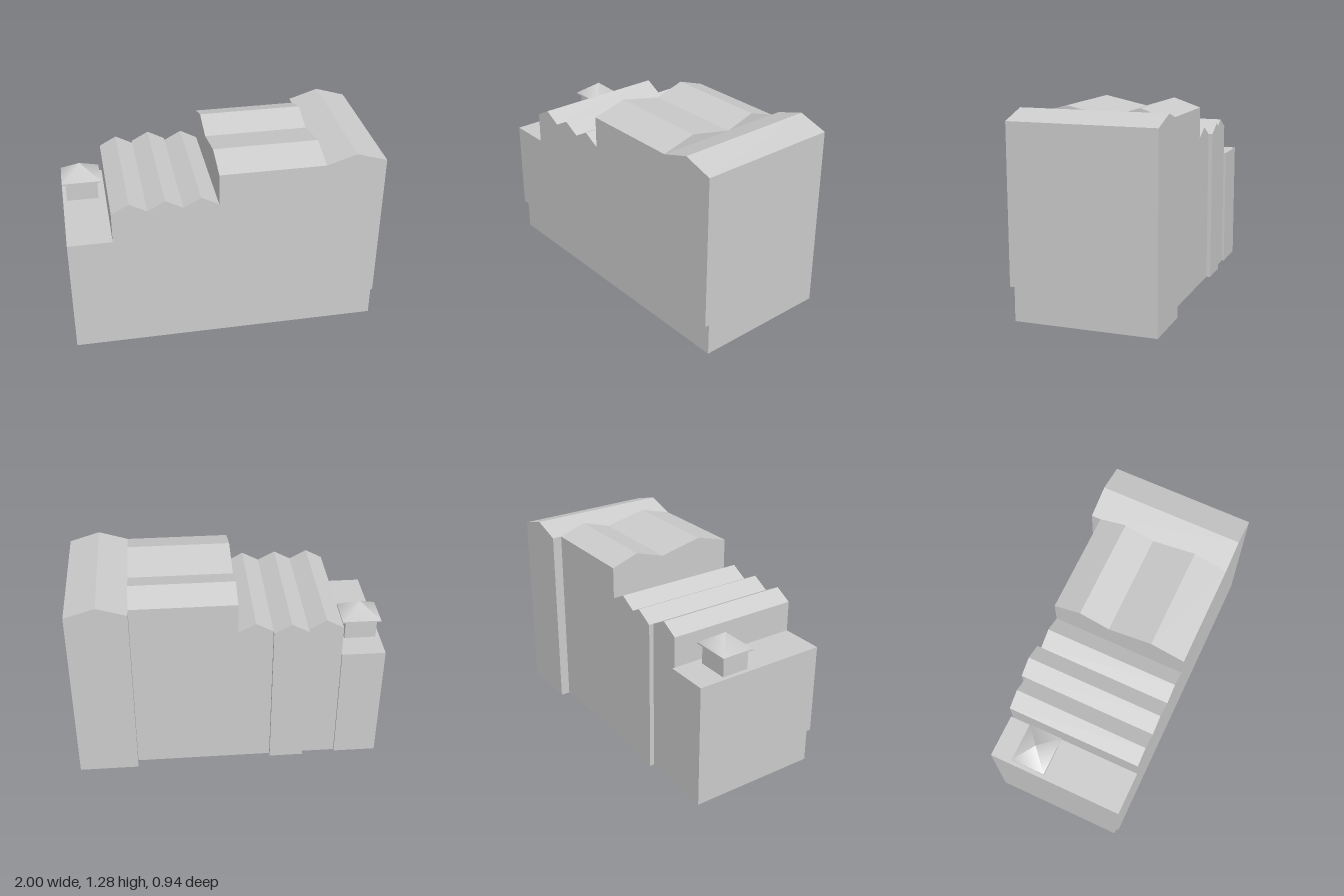
import * as THREE from 'three';

const material = new THREE.MeshStandardMaterial({ color: 0xcccccc, side: THREE.DoubleSide });
const FRONT = 0.47, PLINTH = 0.44, LEDGE = 0.215;
const X = [0, 1, 2];

// Flat polygon through 3D corners, turned to face the given outward direction
function panel(name, corners, outward) {
  const out = new THREE.Vector3(...outward);
  const axis = X.reduce((a, b) => Math.abs(outward[b]) > Math.abs(outward[a]) ? b : a);
  const [u, v] = X.filter(i => i !== axis);
  const tris = THREE.ShapeUtils.triangulateShape(corners.map(p => new THREE.Vector2(p[u], p[v])), []);
  const positions = [];
  for (const t of tris) {
    const [a, b, c] = t.map(i => new THREE.Vector3(...corners[i]));
    const normal = b.clone().sub(a).cross(c.clone().sub(a));
    const order = normal.dot(out) < 0 ? [a, c, b] : [a, b, c];
    order.forEach(p => positions.push(p.x, p.y, p.z));
  }
  const geometry = new THREE.BufferGeometry();
  geometry.setAttribute('position', new THREE.Float32BufferAttribute(positions, 3));
  geometry.computeVertexNormals();
  const mesh = new THREE.Mesh(geometry, material);
  mesh.name = name;
  return mesh;
}

const atZ = (z, pts) => pts.map(([x, y]) => [x, y, z]);
const atX = (x, pts) => pts.map(([z, y]) => [x, y, z]);

export function createModel() {
  const model = new THREE.Group();
  model.name = 'terraceBlock';
  const add = (...args) => model.add(panel(...args));

  // Sections with roof lines running across x; each has its own back depth
  const step = 0.665 / 3;
  const gables = [-0.405, -0.435, -0.408].map((back, i) => {
    const x = -0.72 + i * step;
    return { name: 'sawtoothGable', back, line: [[x, 1.015], [x + step / 2, 1.075], [x + step, 1.015]] };
  });
  const sections = [
    { name: 'lowWing', back: -0.42, line: [[-1, 0.815], [-0.72, 0.815]] },
    ...gables,
    { name: 'tallHall', back: -0.408, line: [[-0.055, 1.22], [0.615, 1.22]], crossRoof: true },
    { name: 'endWing', back: -0.47, line: [[0.615, 1.22], [0.805, 1.28], [1, 1.22]] },
  ];

  // Front wall follows the whole skyline, set out over a recessed plinth
  const skyline = sections.flatMap(s => s.line)
    .filter((p, i, a) => !i || Math.hypot(p[0] - a[i - 1][0], p[1] - a[i - 1][1]) > 1e-4);
  add('frontWall', atZ(FRONT, [[-1, LEDGE], ...skyline, [1, LEDGE]]), [0, 0, 1]);
  add('plinthWall', atZ(PLINTH, [[-1, 0], [-1, LEDGE], [1, LEDGE], [1, 0]]), [0, 0, 1]);
  add('overhangSoffit', [[-1, LEDGE, PLINTH], [1, LEDGE, PLINTH], [1, LEDGE, FRONT], [-1, LEDGE, FRONT]], [0, -1, 0]);

  // Back walls and roof slopes of each section
  for (const { name, back, line, crossRoof } of sections) {
    const x0 = line[0][0], x1 = line[line.length - 1][0];
    add(name + 'BackWall', atZ(back, [[x0, 0], ...line, [x1, 0]]), [0, 0, -1]);
    if (crossRoof) continue;
    for (let i = 1; i < line.length; i++) {
      const [a, b] = [line[i - 1], line[i]];
      add(name + 'Roof', [[...a, back], [...b, back], [...b, FRONT], [...a, FRONT]], [0, 1, 0]);
    }
  }

  // Narrow return walls where neighbouring sections differ in depth
  for (let i = 1; i < sections.length; i++) {
    const a = sections[i - 1], b = sections[i];
    if (a.back === b.back) continue;
    const deeper = a.back < b.back ? a : b;
    const edge = deeper === a ? a.line[a.line.length - 1] : b.line[0];
    add('returnWall', atX(edge[0], [[a.back, 0], [a.back, edge[1]], [b.back, edge[1]], [b.back, 0]]),
      [deeper === a ? 1 : -1, 0, 0]);
  }

  // Twin-ridged roof of the tall hall, with its exposed ends
  const hallBack = -0.408;
  const ridges = [[hallBack, 1.22], [-0.23, 1.28], [-0.035, 1.22], [0.25, 1.28], [FRONT, 1.22]];
  for (let i = 1; i < ridges.length; i++) {
    const [[za, ya], [zb, yb]] = [ridges[i - 1], ridges[i]];
    add('hallRoof', [[-0.055, ya, za], [0.615, ya, za], [0.615, yb, zb], [-0.055, yb, zb]], [0, 1, 0]);
  }
  add('hallStepWall', atX(-0.055, [[hallBack, 1.015], ...ridges, [FRONT, 1.015]]), [-1, 0, 0]);
  for (const i of [0, 2]) add('hallGableEnd', atX(0.615, ridges.slice(i, i + 3)), [1, 0, 0]);

  // Wall above the low wing roof
  add('sawtoothStepWall', atX(-0.72, [[-0.405, 0.815], [-0.405, 1.015], [FRONT, 1.015], [FRONT, 0.815]]), [-1, 0, 0]);

  // Outer side walls, notched over the plinth
  for (const [x, top, back] of [[-1, 0.815, -0.42], [1, 1.22, -0.47]]) {
    add('sideWall', atX(x, [[back, 0], [back, top], [FRONT, top], [FRONT, LEDGE], [PLINTH, LEDGE], [PLINTH, 0]]), [x, 0, 0]);
  }

  // Small roof hut with a pyramid cap
  const hut = new THREE.Group();
  hut.name = 'roofHut';
  hut.position.set(-0.87, 0.815, -0.148);
  const part = (name, geometry, y) => {
    const mesh = new THREE.Mesh(geometry, material);
    mesh.name = name;
    mesh.position.y = y;
    hut.add(mesh);
  };
  part('hutWalls', new THREE.BoxGeometry(0.205, 0.13, 0.18), 0.065);
  part('hutEaves', new THREE.BoxGeometry(0.25, 0.01, 0.22), 0.133);
  const cap = new THREE.ConeGeometry(Math.SQRT1_2, 0.088, 4, 1, true);
  cap.rotateY(Math.PI / 4).scale(0.25, 1, 0.22);
  part('hutRoof', cap, 0.182);
  model.add(hut);

  return model;
}
